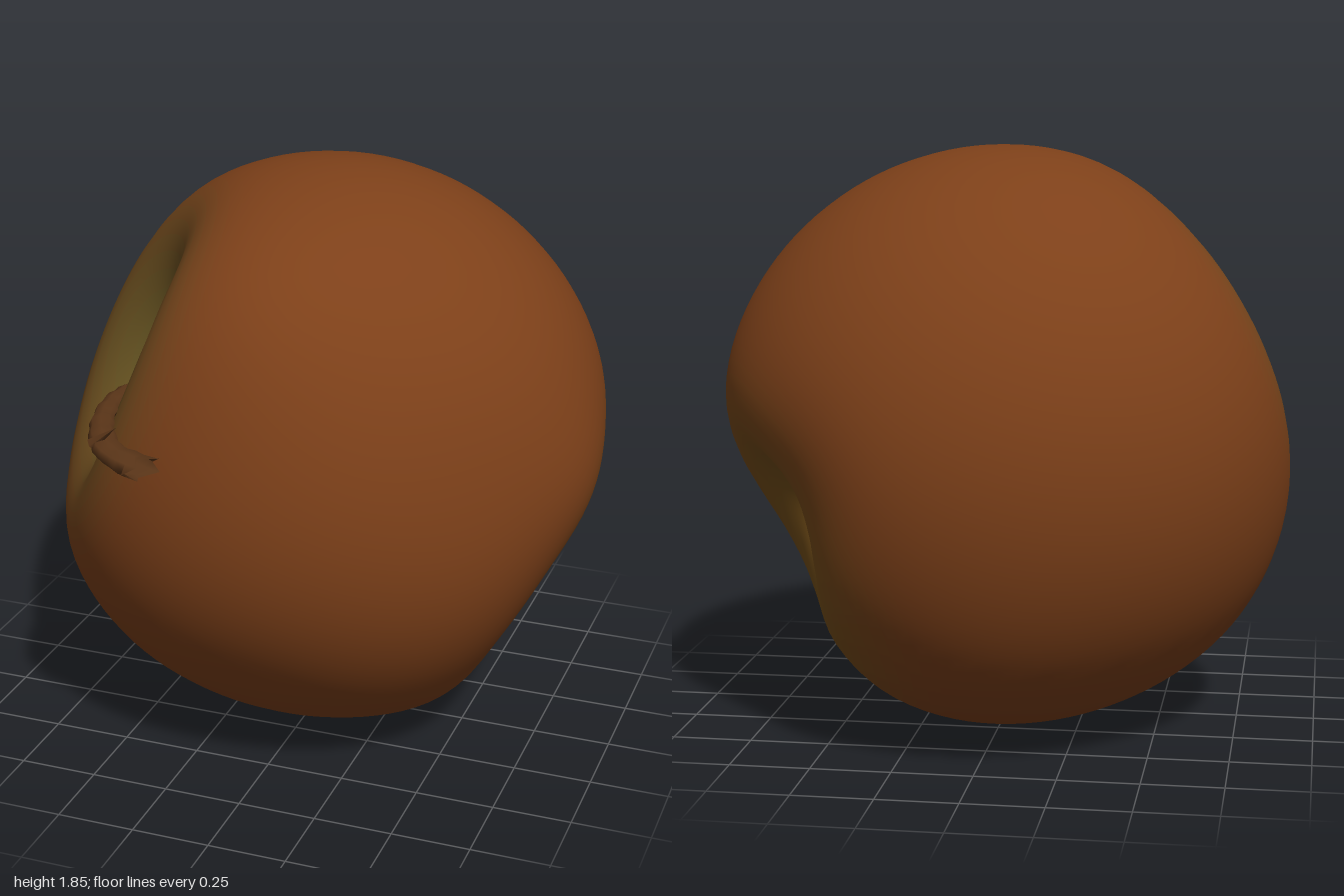
import * as THREE from 'three';
import { mergeVertices } from 'three/addons/utils/BufferGeometryUtils.js';

const dir = (x, y, z) => new THREE.Vector3(x, y, z).normalize();
const UP = dir(0, 1, 0);
const stemDir = dir(-0.81, 0.42, 0.41);
const calyxDir = dir(0.83, -0.3, -0.47);
const centre = new THREE.Vector3(0, 0.93, -0.07);

// Axes across the stem hollow: it is longer upward than sideways
const hollowSide = new THREE.Vector3().crossVectors(UP, stemDir).normalize();
const hollowUp = new THREE.Vector3().crossVectors(stemDir, hollowSide);

// Gentle swellings (+) and flats (-) of the skin: direction, height, width
const swells = [
  [dir(0.85, -0.5, -0.15), -0.13, 0.48],
  [dir(0.62, -0.12, -0.74), -0.05, 0.27],
  [dir(0.45, -0.85, 0.05), 0.045, 0.3],
  [dir(1, 0, 0.15), 0.025, 0.25],
  [dir(-0.75, -0.6, 0.1), 0.025, 0.45],
  [dir(0, 0.7, 0.7), 0.05, 0.38],
  [dir(0, -0.65, 0.75), -0.02, 0.35],
  [dir(0, -0.7, -0.7), 0.02, 0.38],
  [dir(0.68, 0.15, 0.62), -0.025, 0.4],
];

const paint = (color, side = THREE.FrontSide) => new THREE.MeshStandardMaterial({ color, side });
const bump = (angle, width, power = 2) => Math.exp(-Math.pow(angle / width, power));

// Distance of the skin from the centre: a ball with a deep stem hollow and a calyx pit
function skinRadius(d) {
  const s = d.angleTo(stemDir);
  const across = d.dot(hollowSide), along = d.dot(hollowUp);
  const stretch = Math.hypot(across / 0.9, along / 1.1) / (Math.hypot(across, along) || 1);
  let r = 0.925 - 0.04 * bump(s, 0.6) - 0.42 * bump(s * stretch, 0.42, 2.6);
  r -= 0.32 * bump(d.angleTo(calyxDir), 0.25);
  for (const [at, height, width] of swells) r += height * bump(d.angleTo(at), width);
  return r;
}

function makeBody() {
  const W = 80, H = 64;
  let geo = new THREE.SphereGeometry(1, W, H);
  geo.deleteAttribute('uv');
  geo.deleteAttribute('normal');
  geo.applyQuaternion(new THREE.Quaternion().setFromUnitVectors(UP, stemDir));
  geo = mergeVertices(geo, 1e-5);
  const pos = geo.attributes.position, v = new THREE.Vector3();
  for (let i = 0; i < pos.count; i++) {
    v.fromBufferAttribute(pos, i).normalize();
    v.multiplyScalar(skinRadius(v)).add(centre);
    pos.setXYZ(i, v.x, v.y, v.z);
  }
  geo.computeVertexNormals();
  // Skin colour blends ring by ring: olive hollow, red-brown flesh, ochre basin
  const olive = new THREE.Color(0x665522), flesh = new THREE.Color(0x7d4019), ochre = new THREE.Color(0x765019);
  const materials = [];
  let start = 0;
  for (let ring = 0; ring < H; ring++) {
    const count = (ring === 0 || ring === H - 1 ? 1 : 2) * W * 3;
    const color = olive.clone()
      .lerp(flesh, THREE.MathUtils.smoothstep(ring, 5, 17))
      .lerp(ochre, THREE.MathUtils.smoothstep(ring, 46, 58));
    geo.addGroup(start, count, ring);
    materials.push(paint(color));
    start += count;
  }
  const body = new THREE.Mesh(geo, materials);
  body.name = 'fruitBody';
  return body;
}

// Curved stalk that flattens and flares toward its torn end
function makeStem() {
  const curve = new THREE.CatmullRomCurve3([
    [-0.4, 1.1, 0.08], [-0.45, 1.17, 0.26], [-0.48, 1.21, 0.5],
    [-0.43, 1.21, 0.73], [-0.33, 1.195, 0.88], [-0.2, 1.185, 0.94],
  ].map((p) => new THREE.Vector3(...p)));
  const rings = 30, sides = 8;
  const geo = new THREE.TubeGeometry(curve, rings, 1, sides, false);
  const pos = geo.attributes.position, v = new THREE.Vector3(), c = new THREE.Vector3();
  for (let i = 0; i <= rings; i++) {
    const t = i / rings;
    curve.getPointAt(t, c);
    const r = 0.026 + 0.034 * t * t * t + 0.003 * Math.sin(i * 2.3);
    for (let j = 0; j <= sides; j++) {
      const k = i * (sides + 1) + j;
      v.fromBufferAttribute(pos, k).sub(c).multiplyScalar(r);
      v.y *= 1 - 0.45 * t;
      v.add(c);
      if (i === rings) v.x += j % 2 ? 0.015 : -0.02;
      pos.setXYZ(k, v.x, v.y, v.z);
    }
  }
  geo.computeVertexNormals();
  const stem = new THREE.Mesh(geo, paint(0x5a3518, THREE.DoubleSide));
  stem.name = 'stem';
  return stem;
}

// Torn splinter standing on the stalk
function makeSplinter() {
  const geo = new THREE.ConeGeometry(0.02, 0.1, 5);
  geo.rotateZ(-0.9);
  const splinter = new THREE.Mesh(geo, paint(0x5a3518));
  splinter.position.set(-0.36, 1.235, 0.86);
  splinter.name = 'stemSplinter';
  return splinter;
}

// Dried sepals gathered in the basin
function makeCalyx() {
  const calyx = new THREE.Group();
  calyx.name = 'calyx';
  const material = paint(0x5b4632);
  for (let i = 0; i < 5; i++) {
    const geo = new THREE.ConeGeometry(0.045, 0.13, 4);
    geo.scale(1, 1, 0.35);
    geo.translate(0, 0.05, 0);
    geo.rotateX(0.5);
    geo.translate(0, 0, 0.05);
    geo.rotateY((i * Math.PI * 2) / 5);
    const sepal = new THREE.Mesh(geo, material);
    sepal.name = 'sepal';
    calyx.add(sepal);
  }
  calyx.quaternion.setFromUnitVectors(UP, calyxDir);
  calyx.position.copy(centre).addScaledVector(calyxDir, skinRadius(calyxDir) + 0.03);
  return calyx;
}

export function createModel() {
  const fruit = new THREE.Group();
  fruit.name = 'fruit';
  fruit.add(makeBody(), makeStem(), makeSplinter(), makeCalyx());
  return fruit;
}
